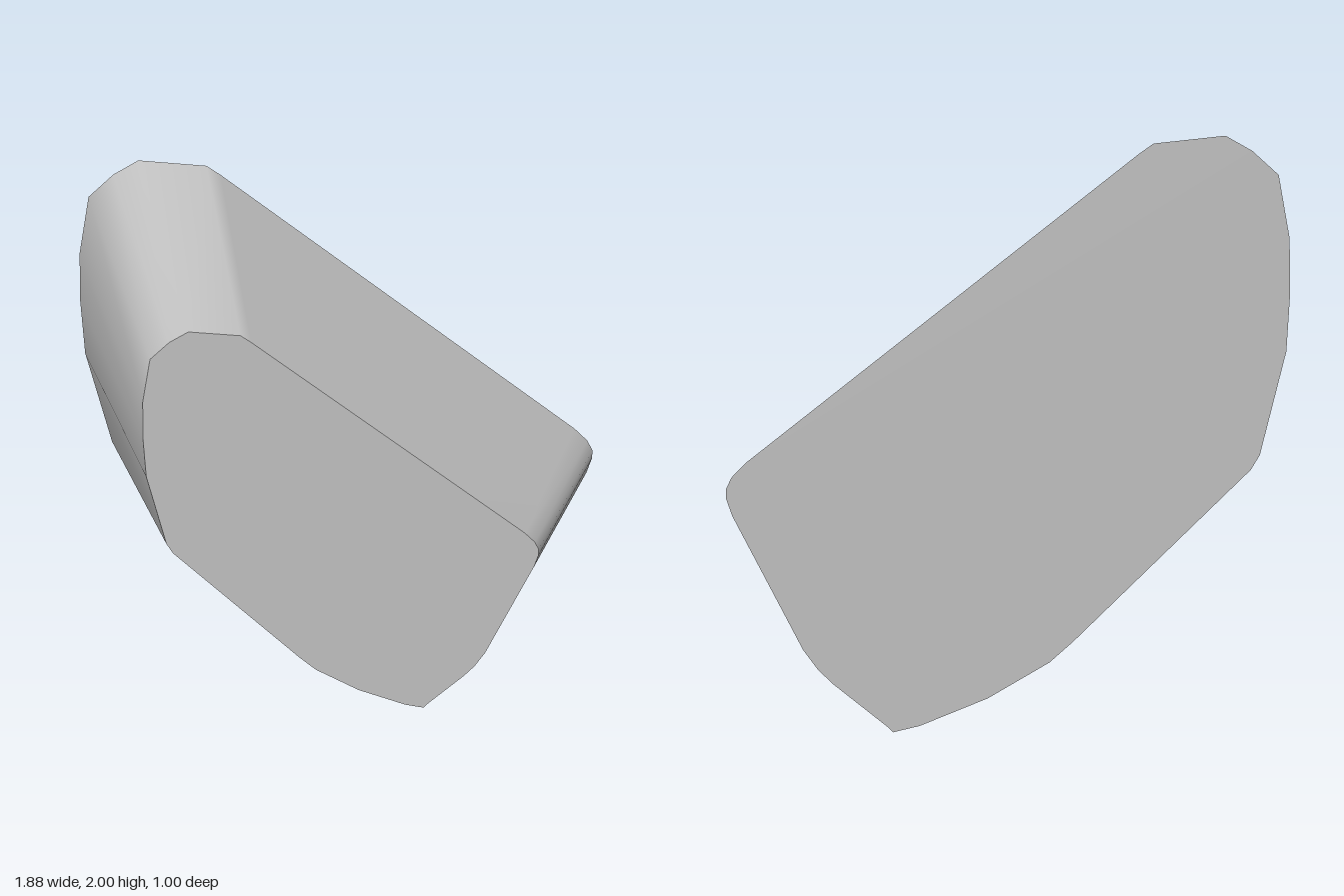
import * as THREE from 'three';

// Back outline, counterclockwise seen from the front
const OUTLINE = [
  [0.39, 0], [0.41, 0.02], [0.59, 0.17], [0.64, 0.22], [0.69, 0.29],
  [0.92, 0.75], [0.94, 0.81], [0.94, 0.84], [0.92, 0.88], [0.87, 0.93],
  [-0.43, 1.94], [-0.48, 1.975], [-0.72, 2], [-0.81, 1.95], [-0.9, 1.87],
  [-0.94, 1.66], [-0.945, 1.48], [-0.935, 1.28], [-0.85, 0.93], [-0.82, 0.88],
  [-0.22, 0.3], [-0.14, 0.23], [0.07, 0.11], [0.3, 0.02],
];
const HALF_DEPTH = 0.5;

// The front outline is the back one, shrunk and shifted
const FRONT = OUTLINE.map(([x, y]) => [x * 0.7 - 0.063, y * 0.7 + 0.315]);

// Tapered band joining the two outlines
function bandGeometry() {
  const n = OUTLINE.length;
  const positions = [];
  const index = [];
  for (const [x, y] of OUTLINE) positions.push(x, y, -HALF_DEPTH);
  for (const [x, y] of FRONT) positions.push(x, y, HALF_DEPTH);
  for (let i = 0; i < n; i++) {
    const j = (i + 1) % n;
    index.push(i, j, n + j, i, n + j, n + i);
  }
  const geometry = new THREE.BufferGeometry();
  geometry.setAttribute('position', new THREE.Float32BufferAttribute(positions, 3));
  geometry.setIndex(index);
  geometry.computeVertexNormals();
  return geometry;
}

// Flat cap; mirrored in x when it faces backwards
function capGeometry(points, back) {
  const shape = new THREE.Shape(points.map(([x, y]) => new THREE.Vector2(back ? -x : x, y)));
  const geometry = new THREE.ShapeGeometry(shape);
  if (back) geometry.rotateY(Math.PI);
  return geometry.translate(0, 0, back ? -HALF_DEPTH : HALF_DEPTH);
}

export function createModel() {
  const group = new THREE.Group();
  group.name = 'taperedBlock';
  const grey = new THREE.MeshStandardMaterial({ color: 0xc0c0c0 });
  grey.name = 'light grey';

  const add = (name, geometry) => {
    const mesh = new THREE.Mesh(geometry, grey);
    mesh.name = name;
    group.add(mesh);
  };
  add('sides', bandGeometry());
  add('frontFace', capGeometry(FRONT, false));
  add('backFace', capGeometry(OUTLINE, true));
  return group;
}
